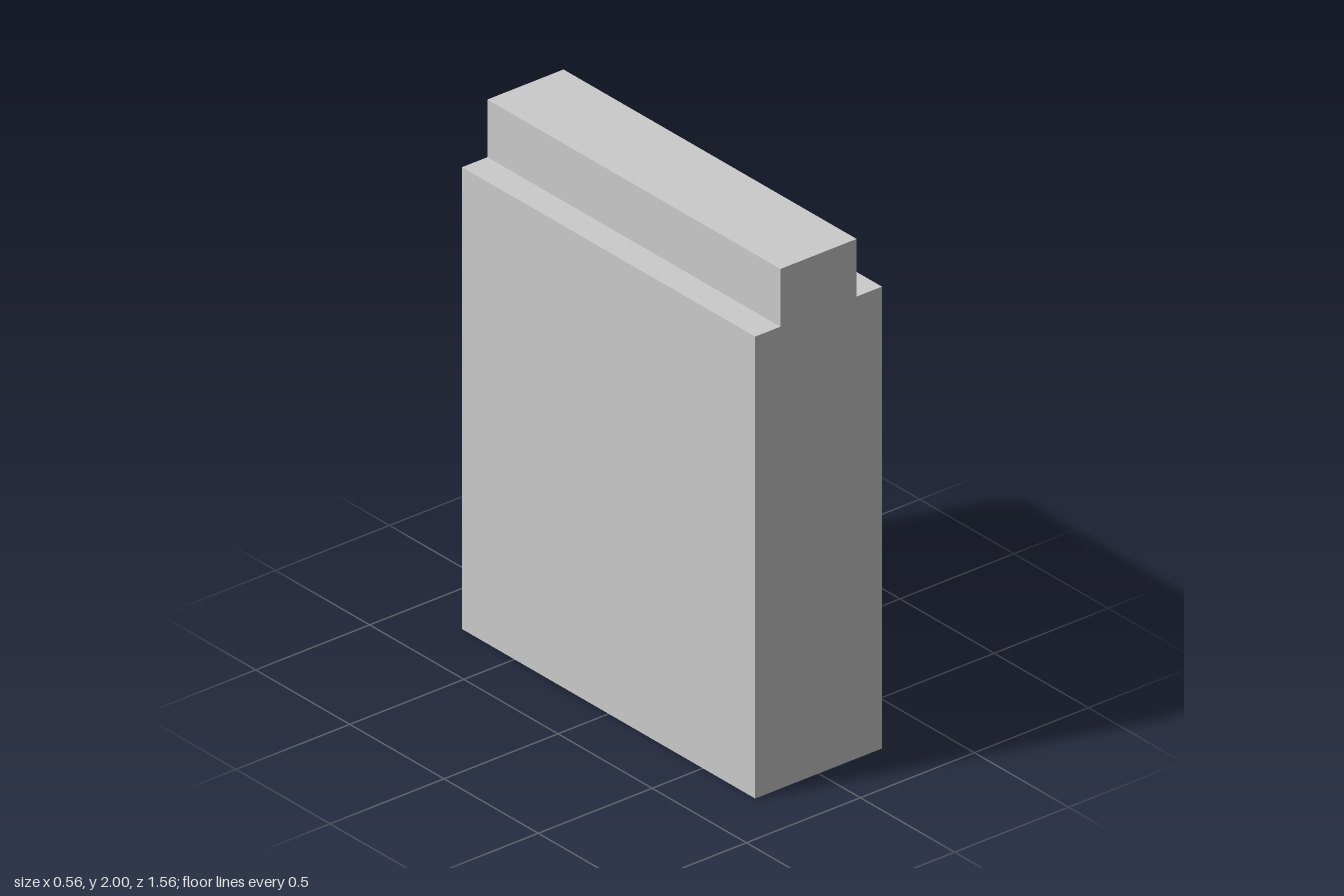
import * as THREE from 'three';

export function createModel() {
  const group = new THREE.Group();
  group.name = 'tonguedBlock';

  const bodyHalf = 0.278, tongueHalf = 0.167; // half widths
  const shoulderY = 1.778, topY = 2, depth = 1.556;

  // Stepped cross-section: wide body with a narrower tongue on top
  const right = [[bodyHalf, 0], [bodyHalf, shoulderY], [tongueHalf, shoulderY], [tongueHalf, topY]];
  const left = right.map(([x, y]) => [-x, y]).reverse();
  const profile = new THREE.Shape([...right, ...left].map(([x, y]) => new THREE.Vector2(x, y)));

  // Extruded front to back, centred on z
  const geometry = new THREE.ExtrudeGeometry(profile, { depth, bevelEnabled: false });
  geometry.translate(0, 0, -depth / 2);

  const block = new THREE.Mesh(
    geometry,
    new THREE.MeshStandardMaterial({ color: 0xcccccc, flatShading: true })
  );
  block.name = 'bodyWithTongue';
  group.add(block);
  return group;
}
